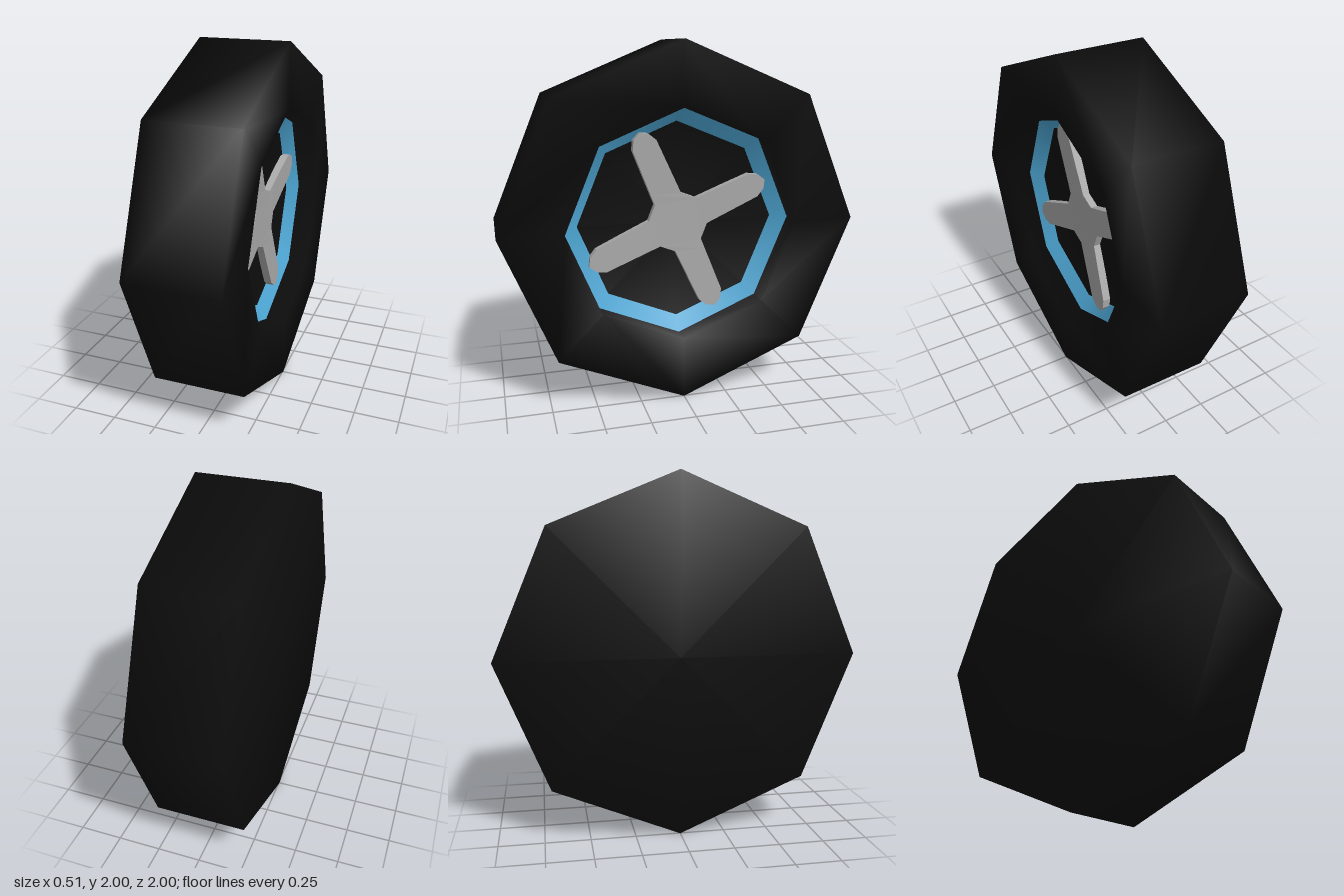
import * as THREE from 'three';

const SIDES = 8;
const material = (name, color) => {
  const m = new THREE.MeshStandardMaterial({ color });
  m.name = name;
  return m;
};

// Lathe a [radius, x] profile around the wheel's x axis
function wheelLathe(name, profile, mat) {
  const g = new THREE.LatheGeometry(profile.map(([r, x]) => new THREE.Vector2(r, x)), SIDES);
  g.rotateZ(-Math.PI / 2);
  const mesh = new THREE.Mesh(g, mat);
  mesh.name = name;
  return mesh;
}

// Four-armed spoke outline with chamfered inner corners and rounded tips
function spokeShape() {
  const arm = [
    [0.149, -0.082], [0.21, -0.08], [0.48, -0.072], [0.53, -0.045], [0.555, 0],
    [0.53, 0.045], [0.48, 0.072], [0.21, 0.08], [0.149, 0.082],
  ];
  const points = [];
  for (let i = 0; i < 4; i++) {
    const angle = THREE.MathUtils.degToRad(23.5 + i * 90);
    for (const [u, v] of arm) {
      points.push(new THREE.Vector2(u, v).rotateAround(new THREE.Vector2(), angle));
    }
  }
  return new THREE.Shape(points);
}

export function createModel() {
  const rubber = material('black rubber', 0x0d0d0d);
  const blue = material('blue rim', 0x4da5d2);
  const silver = material('silver grey', 0xa9a9a9);

  const wheel = new THREE.Group();
  wheel.name = 'wheel';

  // Tire: closed back, flat tread, recessed hub on the outer face
  wheel.add(wheelLathe('tire', [
    [0, -0.255], [1, -0.255], [1, 0.255], [0.65, 0.255], [0.65, 0.08], [0, 0.08],
  ], rubber));

  // Conical rim at the bottom of the recess
  wheel.add(wheelLathe('rim', [[0.65, 0.14], [0.565, 0.081]], blue));

  // Spokes, very slightly dished towards the tips
  const g = new THREE.ExtrudeGeometry(spokeShape(), { depth: 0.045, bevelEnabled: false });
  const p = g.attributes.position;
  for (let i = 0; i < p.count; i++) {
    p.setZ(i, p.getZ(i) + 0.07 + 0.03 * Math.hypot(p.getX(i), p.getY(i)));
  }
  g.rotateY(Math.PI / 2);
  g.computeVertexNormals();
  const spokes = new THREE.Mesh(g, silver);
  spokes.name = 'spokes';
  wheel.add(spokes);

  wheel.position.y = 1;
  const model = new THREE.Group();
  model.add(wheel);
  return model;
}
